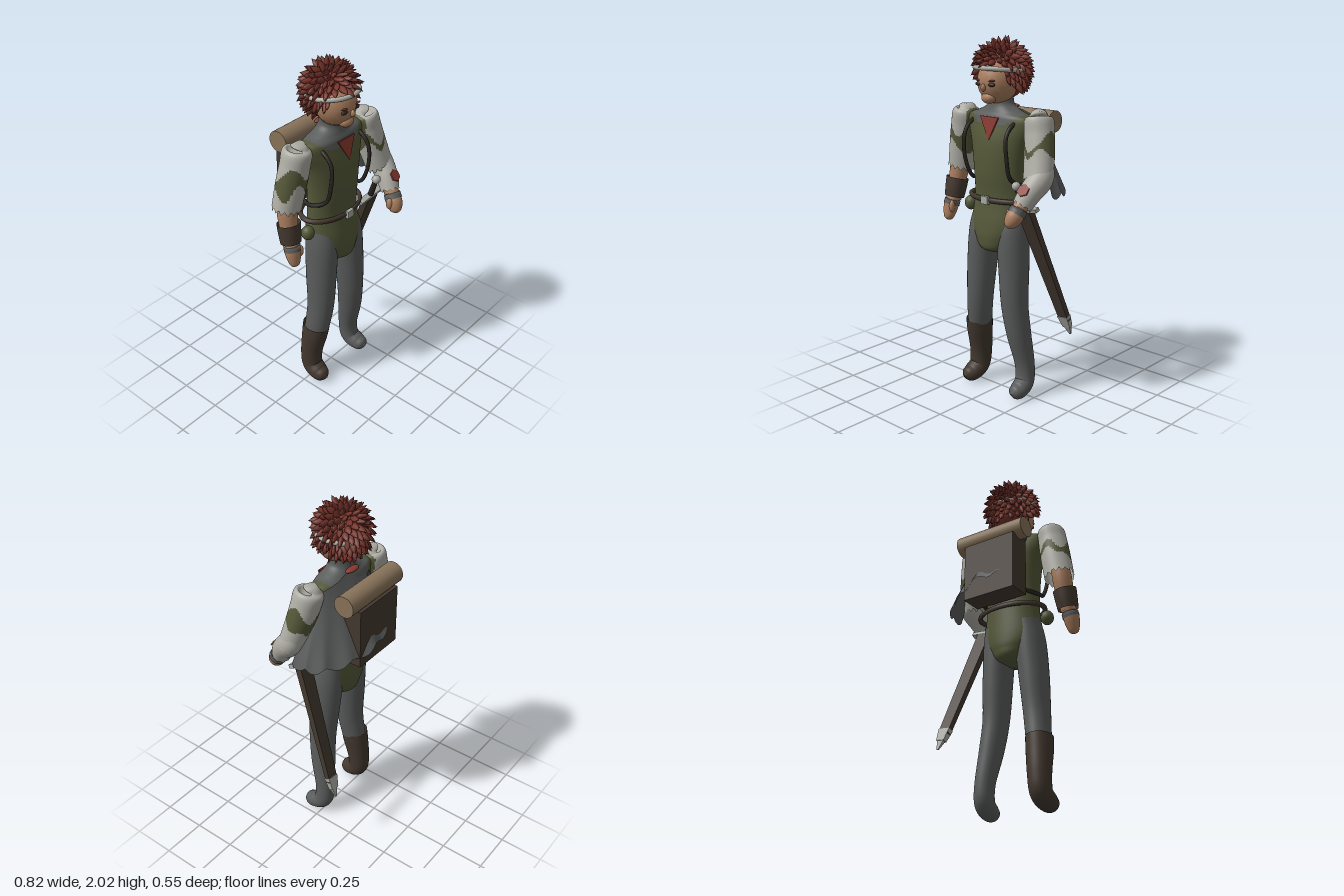
import * as THREE from 'three';

const mat = (name, color, side = THREE.FrontSide) => {
  const m = new THREE.MeshStandardMaterial({ color, side });
  m.name = name;
  return m;
};
const M = {
  skin: mat('skin', 0xa97d5e), hair: mat('auburn hair', 0x75332a), red: mat('red cloth', 0x8a3a30),
  olive: mat('olive cloth', 0x545838, THREE.DoubleSide), grey: mat('grey cloth', 0x5a5c5b, THREE.DoubleSide),
  cream: mat('pale linen', 0xaeada5, THREE.DoubleSide), leather: mat('leather', 0x43382f, THREE.DoubleSide),
  tan: mat('tan blanket', 0x88735a), metal: mat('pale metal', 0xa9a9a4), dark: mat('dark strap', 0x2b2622),
};
const V = (x, y, z) => new THREE.Vector3(x, y, z);

export function createModel() {
  const root = new THREE.Group();
  root.name = 'adventurer';

  const add = (name, geo, material, pos = [0, 0, 0], scale = [1, 1, 1], parent = root) => {
    const m = new THREE.Mesh(geo, material);
    m.name = name;
    m.position.set(...pos);
    m.scale.set(...scale);
    parent.add(m);
    return m;
  };
  const ball = (name, material, pos, scale, parent) =>
    add(name, new THREE.SphereGeometry(1, 20, 14), material, pos, scale, parent);
  const flat = (g) => {
    const f = g.toNonIndexed();
    f.computeVertexNormals();
    return f;
  };

  // Smooth limb through cross-sections [x, y, z, rx, rz], listed from top to bottom.
  // pick(point) chooses which of the materials a patch gets; hem makes a ragged lower edge.
  function limb(name, sections, mats, { rows = 40, seg = 32, pick = () => 0, hem = 0 } = {}) {
    const path = new THREE.CatmullRomCurve3(sections.map((s) => V(s[0], s[1], s[2])), false, 'catmullrom', 0.5);
    const size = new THREE.CatmullRomCurve3(sections.map((s) => V(s[3], s[4] ?? s[3], 0)), false, 'catmullrom', 0.5);
    const down = V(0, -1, 0), q = new THREE.Quaternion(), pts = [];
    for (let i = 0; i <= rows; i++) {
      const c = path.getPoint(i / rows), r = size.getPoint(i / rows);
      q.setFromUnitVectors(down, path.getTangent(i / rows));
      for (let k = 0; k < seg; k++) {
        const a = (k / seg) * Math.PI * 2;
        const drop = i === rows ? hem * Math.sin(k * 1.9) : 0;
        pts.push(V(Math.cos(a) * r.x, -drop, Math.sin(a) * r.y).applyQuaternion(q).add(c));
      }
    }
    const lists = mats.map(() => []);
    for (let i = 0; i < rows; i++) {
      for (let k = 0; k < seg; k++) {
        const a = i * seg + k, b = i * seg + ((k + 1) % seg), c = a + seg, d = b + seg;
        lists[pick(pts[a].clone().add(pts[d]).multiplyScalar(0.5))].push(a, b, c, b, d, c);
      }
    }
    const g = new THREE.BufferGeometry().setFromPoints(pts);
    g.setIndex(lists.flat());
    let start = 0;
    lists.forEach((l, i) => { g.addGroup(start, l.length, i); start += l.length; });
    g.computeVertexNormals();
    return add(name, g, mats);
  }
  const mirror = (list) => list.map(([x, ...rest]) => [-x, ...rest]);

  // Tunic with grey yoke and neck
  limb('tunic', [
    [0, 1.72, 0, .068, .058], [0, 1.66, 0, .078, .065], [0, 1.625, 0, .14, .075], [0, 1.595, 0, .22, .088],
    [0, 1.54, 0, .225, .1], [0, 1.44, .008, .187, .113], [0, 1.3, .01, .166, .115], [0, 1.15, .005, .165, .11],
    [0, 1.0, .015, .175, .12], [0, .92, .02, .14, .12], [0, .86, .02, .09, .1], [0, .83, .02, .004, .004],
  ], [M.olive, M.grey], {
    rows: 110, seg: 64,
    pick: (p) => (p.y > 1.56 + Math.max(0, Math.abs(p.x) - .1) * .8 ? 1 : 0),
  });

  // Legs, the right one booted
  const leg = [
    [.1, 1.08, 0, .07, .08], [.105, .95, .02, .085, .095], [.12, .75, .03, .082, .09], [.132, .55, .035, .073, .08],
    [.15, .38, .02, .066, .073], [.17, .2, -.008, .056, .058], [.178, .095, 0, .055, .056],
    [.185, .057, .055, .053, .05], [.187, .052, .1, .038, .036], [.187, .05, .122, .002, .002],
  ];
  limb('leftLeg', leg, [M.grey], { rows: 60 });
  limb('rightLeg', mirror(leg.slice(0, 6)), [M.grey]);
  limb('rightBoot', mirror([[.155, .4, .02, .073, .081], [.16, .33, .012, .073, .077], [.168, .2, -.006, .065, .065],
    [.173, .1, 0, .06, .06], [.178, .06, .055, .056, .052], [.18, .053, .1, .04, .038], [.18, .05, .124, .002, .002]]), [M.leather]);

  // Patched sleeves
  const patch = (p) => {
    const band = Math.abs(p.y - 1.455 + .03 * Math.sin(p.x * 45 + p.z * 12)) < .045 + .03 * Math.sin(p.z * 38 + 1);
    return band || Math.abs(p.x) < .215 ? 1 : 0;
  };
  const sleeve = { rows: 60, seg: 48, pick: patch, hem: .014 };
  limb('leftSleeve', [[.265, 1.613, 0, .001, .001], [.265, 1.607, 0, .07, .075], [.282, 1.52, .015, .082, .078],
    [.303, 1.41, .04, .085, .075], [.325, 1.29, .075, .084, .07]], [M.cream, M.olive], sleeve);
  limb('rightSleeve', [[-.262, 1.613, 0, .001, .001], [-.262, 1.607, 0, .07, .075], [-.278, 1.52, -.005, .082, .08],
    [-.3, 1.41, -.015, .085, .08], [-.326, 1.28, -.025, .084, .076]], [M.cream, M.olive], sleeve);

  // Left forearm and hand
  limb('leftForearm', [[.335, 1.36, .045, .06], [.34, 1.3, .075, .068], [.322, 1.235, .135, .062], [.302, 1.17, .175, .053]],
    [M.cream], { hem: .01 });
  limb('leftHand', [[.305, 1.2, .165, .038], [.297, 1.15, .195, .043], [.285, 1.11, .222, .046], [.275, 1.075, .243, .03],
    [.272, 1.06, .25, .002]], [M.skin]);
  ball('leftThumb', M.skin, [.247, 1.12, .215], [.017, .035, .02]);
  limb('leftHandWrap', [[.299, 1.16, .19, .047], [.292, 1.13, .209, .049]], [M.grey], { rows: 3 });
  const badge = add('sleevePatch', new THREE.CylinderGeometry(.036, .036, .009, 6), M.red, [.323, 1.26, .19]);
  badge.quaternion.setFromUnitVectors(V(0, 1, 0), V(.1, .6, .8).normalize());

  // Right forearm, bracer and hand
  limb('rightForearm', [[-.325, 1.36, -.02, .05], [-.338, 1.25, -.01, .054], [-.35, 1.08, .02, .04]], [M.skin]);
  limb('bracer', [[-.342, 1.205, 0, .067, .062], [-.346, 1.15, .01, .063, .06], [-.35, 1.095, .02, .058, .055]], [M.leather]);
  limb('rightHand', [[-.35, 1.11, .02, .038], [-.357, 1.06, .035, .045, .042], [-.36, 1.01, .048, .04, .036],
    [-.362, .97, .058, .025, .024], [-.362, .958, .062, .002]], [M.skin]);
  limb('rightHandWrap', [[-.353, 1.08, .03, .047, .045], [-.357, 1.05, .038, .048, .045]], [M.grey], { rows: 3 });
  ball('rightThumb', M.skin, [-.325, 1.045, .065], [.016, .034, .018]);

  // Head and face
  ball('head', M.skin, [0, 1.785, .028], [.11, .124, .115]);
  ball('jaw', M.skin, [0, 1.7, .1], [.044, .032, .036]);
  ball('nose', M.skin, [0, 1.757, .142], [.013, .02, .016]);
  for (const s of [-1, 1]) {
    ball('eye', M.dark, [s * .045, 1.773, .128], [.024, .011, .012]);
    const brow = ball('brow', M.hair, [s * .047, 1.793, .131], [.026, .005, .008]);
    brow.rotation.z = s * .12;
  }
  const band = add('headband', new THREE.TorusGeometry(.139, .013, 10, 48), M.cream, [0, 1.845, .005]);
  band.rotation.x = Math.PI / 2 - .1;

  // Hair: a cap covered with pointed locks
  const hair = new THREE.Group();
  hair.name = 'hair';
  root.add(hair);
  ball('hairCap', M.hair, [0, 1.84, -.02], [.122, .12, .118], hair);
  ball('hairNape', M.hair, [0, 1.785, -.04], [.108, .1, .085], hair);
  const lock = new THREE.LatheGeometry([[0, -.5], [.38, -.35], [.5, -.08], [.36, .22], [0, .5]]
    .map((p) => new THREE.Vector2(...p)), 6);
  const N = 190, up = V(0, 1, 0);
  for (let i = 0; i < N; i++) {
    const y = 1 - (i + .5) * 1.68 / N, a = i * 2.39996, r = Math.sqrt(1 - y * y);
    const d = V(Math.cos(a) * r, y, Math.sin(a) * r);
    if (d.z > .3 && y < .3 && Math.abs(d.x) < .78) continue;
    if (d.z > .1 && y < -.35) continue;
    const wob = Math.sin(i * 12.9) * .5 + Math.sin(i * 4.7) * .5;
    const axis = V(d.x * .9, d.y * .45 - (1 - y) * .62, d.z * .9);
    axis.x += wob * .2;
    axis.z += Math.sin(i * 7.3) * .15;
    axis.normalize();
    const p = V(0, 1.84, -.008).addScaledVector(d, .122).addScaledVector(axis, .02);
    const m = add('lock', lock, M.hair, p.toArray(), [.04, .085 + wob * .016, .026], hair);
    m.quaternion.setFromUnitVectors(up, axis);
  }
  for (const [x, z, tilt] of [[.03, .02, -.5], [-.025, .0, .45], [.055, -.02, -.7]]) {
    add('crownTuft', lock, M.hair, [x, 1.962, z], [.034, .088, .026], hair).rotation.z = tilt;
  }

  // Neckerchief: front point and rear knot
  const tri = new THREE.Shape([[-.062, 1.6], [.012, 1.472], [.068, 1.6]].map((p) => new THREE.Vector2(...p)));
  const kerchief = add('neckerchief',
    new THREE.ExtrudeGeometry(tri, { depth: .008, bevelEnabled: false }).translate(0, -1.472, 0), M.red, [0, 1.472, .112]);
  kerchief.rotation.x = -.13;
  ball('neckerchiefKnot', M.red, [.01, 1.645, -.078], [.05, .012, .022]);

  // Belt, buckle and pouch
  const belt = add('belt', new THREE.TorusGeometry(1, .075, 10, 56), M.leather, [0, 1.147, -.004], [.202, .126, .2]);
  belt.rotation.x = Math.PI / 2;
  add('buckle', new THREE.BoxGeometry(.048, .044, .02), M.metal, [0, 1.147, .133]);
  ball('pouch', M.olive, [-.215, 1.08, .02], [.037, .042, .037]);

  // Backpack, bedroll and straps
  add('backpack', new THREE.BoxGeometry(.325, .34, .132), M.leather, [0, 1.35, -.18]);
  const roll = add('bedroll', new THREE.CylinderGeometry(.06, .06, .436, 28), M.tan, [.007, 1.563, -.185]);
  roll.rotation.z = Math.PI / 2;
  for (const s of [-1, 1]) {
    const curve = new THREE.CatmullRomCurve3([[.12, 1.5, -.12], [.14, 1.585, -.04], [.148, 1.565, .075], [.15, 1.51, .128],
      [.155, 1.39, .132], [.15, 1.27, .09], [.175, 1.23, 0], [.13, 1.23, -.12]].map(([x, y, z]) => V(s * x, y, z)));
    add('packStrap', new THREE.TubeGeometry(curve, 50, .011, 8), M.dark);
  }

  // Cloak swept over the left side of the back
  const top = new THREE.CatmullRomCurve3([V(-.1, 1.6, -.07), V(.03, 1.635, -.07), V(.14, 1.615, -.07), V(.22, 1.59, -.04), V(.24, 1.56, 0)]);
  const rim = new THREE.CatmullRomCurve3([V(-.13, 1.3, -.23), V(.06, 1.27, -.272), V(.25, 1.22, -.205), V(.37, 1.2, -.09), V(.385, 1.2, .025)]);
  const cols = 40, rows = 14, pos = [], idx = [];
  for (let j = 0; j <= rows; j++) {
    for (let i = 0; i <= cols; i++) {
      const t = j / rows, p = top.getPoint(i / cols).lerp(rim.getPoint(i / cols), t);
      p.y += t * t * .014 * Math.sin(i * .8);
      p.z += t * t * .008 * Math.cos(i * .8);
      pos.push(p.x, p.y, p.z);
      if (i < cols && j < rows) {
        const a = j * (cols + 1) + i, b = a + cols + 1;
        idx.push(a, a + 1, b, a + 1, b + 1, b);
      }
    }
  }
  const cloak = new THREE.BufferGeometry();
  cloak.setAttribute('position', new THREE.Float32BufferAttribute(pos, 3));
  cloak.setIndex(idx);
  cloak.computeVertexNormals();
  add('cloak', cloak, M.grey);

  // Sheathed sword, built upward from its tip and tilted at the hip
  const sword = new THREE.Group(), tip = V(.335, .355, -.215), pommel = V(.225, 1.26, .135);
  sword.name = 'sword';
  sword.position.copy(tip);
  sword.quaternion.setFromUnitVectors(up, pommel.clone().sub(tip).normalize());
  root.add(sword);
  const prism = (r1, r2, h) => flat(new THREE.CylinderGeometry(r1, r2, h, 4).rotateY(Math.PI / 4));
  add('scabbard', prism(.063, .046, .72), M.leather, [0, .46, 0], [1, 1, .45], sword);
  add('scabbardTip', prism(.05, .036, .075), M.metal, [0, .092, 0], [1, 1, .52], sword);
  add('scabbardSpike', prism(.03, .008, .06), M.metal, [0, .03, 0], [1, 1, .5], sword);
  add('guard', new THREE.BoxGeometry(.18, .022, .032), M.metal, [0, .832, 0], [1, 1, 1], sword);
  add('grip', new THREE.CylinderGeometry(.015, .017, .12, 12), M.dark, [0, .895, 0], [1, 1, 1], sword);
  ball('pommel', M.metal, [0, .973, 0], [.025, .025, .025], sword);

  return root;
}
